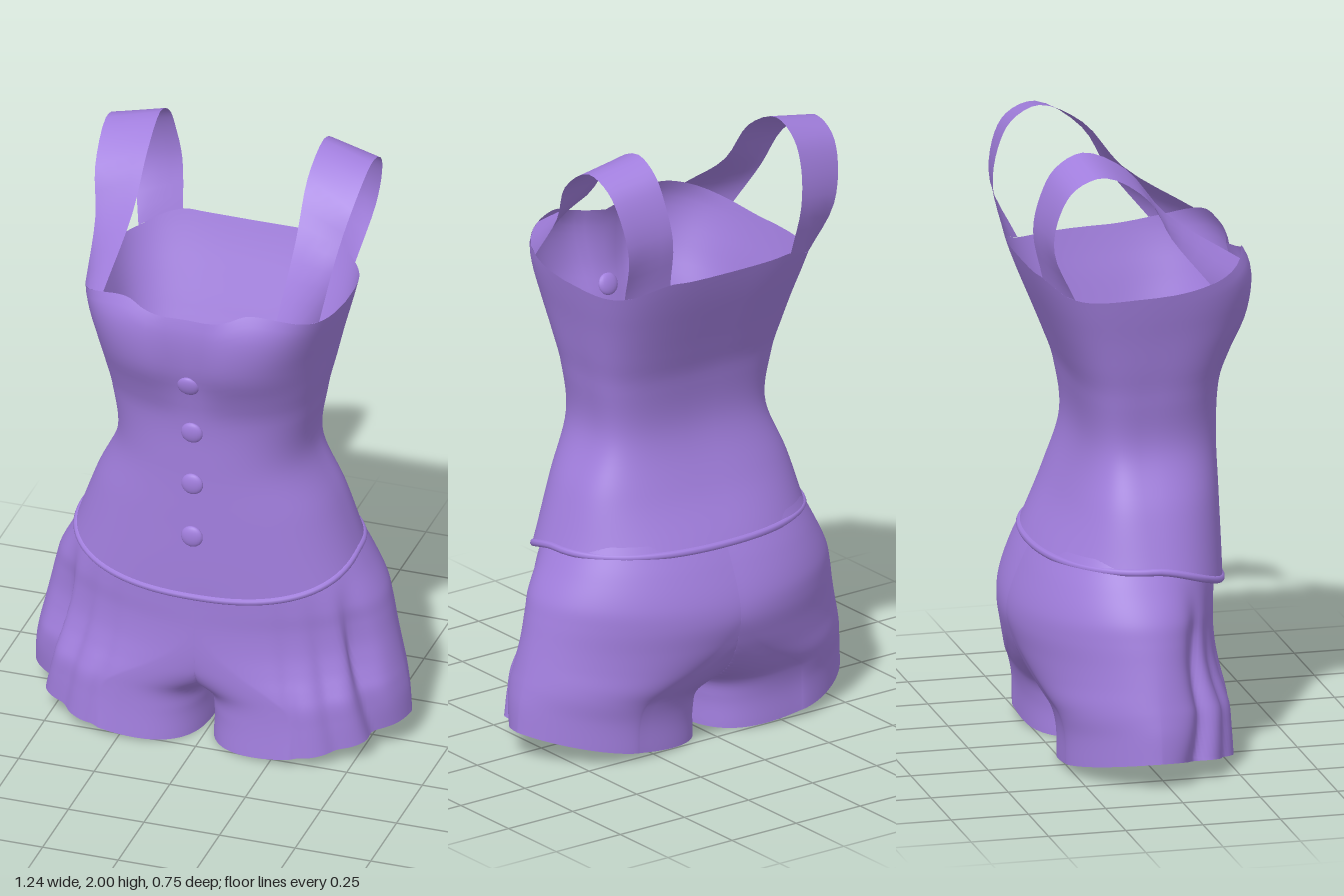
import * as THREE from 'three';

const fabric = new THREE.MeshStandardMaterial({ color: 0xa17edd, side: THREE.DoubleSide });
fabric.name = 'purple fabric';

// Smooth lookup in a table of [y, value, value, ...] rows
function sample(table, y) {
  const n = table.length - 1;
  let i = 0;
  while (i < n - 1 && y > table[i + 1][0]) i++;
  const a = table[i], b = table[i + 1], p = table[Math.max(i - 1, 0)], q = table[Math.min(i + 2, n)];
  const h = b[0] - a[0], t = THREE.MathUtils.clamp((y - a[0]) / h, 0, 1);
  return a.slice(1).map((v, k) => {
    const w = b[k + 1];
    const m0 = ((w - p[k + 1]) / (b[0] - p[0])) * h, m1 = ((q[k + 1] - v) / (q[0] - a[0])) * h;
    const t2 = t * t, t3 = t2 * t;
    return (2 * t3 - 3 * t2 + 1) * v + (t3 - 2 * t2 + t) * m0 + (3 * t2 - 2 * t3) * w + (t3 - t2) * m1;
  });
}

const spow = (v, p) => Math.sign(v) * Math.pow(Math.abs(v), p);

// Surface through a grid of points; drops triangles lying on the x = 0 plane if asked
function loft(name, rows, cols, point, closed, skipMiddle = false) {
  const pos = [], index = [], stride = closed ? cols : cols + 1;
  for (let r = 0; r <= rows; r++)
    for (let c = 0; c < stride; c++) pos.push(...point(r / rows, c / cols));
  const add = (...tri) => {
    if (!skipMiddle || tri.some((k) => Math.abs(pos[k * 3]) > 1e-6)) index.push(...tri);
  };
  for (let r = 0; r < rows; r++)
    for (let c = 0; c < cols; c++) {
      const d = (c + 1) % stride;
      const a = r * stride + c, b = r * stride + d;
      add(a, b, b + stride);
      add(a, b + stride, a + stride);
    }
  const g = new THREE.BufferGeometry();
  g.setAttribute('position', new THREE.Float32BufferAttribute(pos, 3));
  g.setIndex(index);
  g.computeVertexNormals();
  const mesh = new THREE.Mesh(g, fabric);
  mesh.name = name;
  return mesh;
}

// Bodice: y, half width, front z, back z, front squareness, back squareness
const bodiceTable = [
  [0.55, 0.5, 0.285, -0.36, 0.86, 0.9], [0.67, 0.457, 0.285, -0.308, 0.86, 0.9],
  [0.84, 0.395, 0.282, -0.22, 0.84, 0.72], [1.02, 0.318, 0.28, -0.165, 0.8, 0.6],
  [1.2, 0.335, 0.288, -0.185, 0.78, 0.58], [1.3, 0.357, 0.322, -0.22, 0.74, 0.58],
  [1.4, 0.378, 0.366, -0.26, 0.68, 0.57], [1.5, 0.401, 0.38, -0.3, 0.62, 0.55],
  [1.58, 0.415, 0.372, -0.328, 0.6, 0.53], [1.64, 0.41, 0.342, -0.345, 0.6, 0.53],
];
// Neckline height by degrees away from the front
const neckline = [
  [0, 1.588], [10, 1.612], [20, 1.636], [38, 1.622], [70, 1.575], [95, 1.546],
  [129, 1.546], [160, 1.59], [170, 1.587], [180, 1.585],
];

function bodiceAt(y, deg) {
  const [hw, zf, zb, pf, pb] = sample(bodiceTable, y);
  const a = THREE.MathUtils.degToRad(deg), c = Math.cos(a);
  if (c <= 0) return [hw * spow(Math.sin(a), pb), y, -zb * spow(c, pb)];
  // the chest narrows forwards and has a hollow in the middle
  const depth = spow(c, pf), chest = THREE.MathUtils.smoothstep(y, 1.18, 1.45);
  const x = hw * spow(Math.sin(a), pf) * (1 - 0.08 * chest * depth);
  return [x, y, zf * depth - 0.035 * chest * Math.exp(-((x / 0.075) ** 2))];
}
const neckAt = (deg) => bodiceAt(sample(neckline, Math.abs(deg))[0], deg);
function hemAt(deg) {
  let y = 0.66;
  for (let i = 0; i < 3; i++) y = 0.667 - 0.107 * Math.pow(Math.max(bodiceAt(y, deg)[2], 0) / 0.285, 1.5);
  return bodiceAt(y, deg);
}

// Shorts: y, outer half width, leg centre x, front z, back z, squareness inside, outer front, outer back
const shortsTable = [
  [0, 0.618, 0.314, 0.278, -0.268, 0.66, 1.1, 1.32], [0.1, 0.611, 0.311, 0.27, -0.27, 0.66, 1.08, 1.28],
  [0.17, 0.6, 0.294, 0.267, -0.285, 0.68, 1.05, 1.22], [0.22, 0.59, 0.235, 0.266, -0.308, 0.72, 1.03, 1.18],
  [0.28, 0.578, 0.14, 0.265, -0.333, 0.78, 1, 1.14], [0.35, 0.564, 0.05, 0.265, -0.358, 0.84, 0.98, 1.1],
  [0.43, 0.548, 0, 0.265, -0.376, 0.87, 0.95, 1.06], [0.5, 0.53, 0, 0.266, -0.368, 0.87, 0.92, 1.02],
  [0.6, 0.482, 0, 0.268, -0.33, 0.87, 0.88, 0.95], [0.7, 0.43, 0, 0.265, -0.28, 0.86, 0.86, 0.9],
];
// Front pleat grooves: x at the leg opening, x at the waist, depth, width
const pleats = [[0.57, 0.42, 0.15, 0.026], [0.46, 0.33, 0.06, 0.028], [0.34, 0.24, 0.035, 0.024]];

function shortsAt(y, turn, side, insetX = 1, insetZ = 1) {
  const [hw, cx, zf, zb, pIn, pFront, pBack] = sample(shortsTable, y);
  const a = turn * Math.PI * 2, s = Math.sin(a), c = Math.cos(a);
  const p = c < 0 ? pIn : s > 0 ? pFront : pBack;
  const reach = (hw - cx) * spow(c, p);
  const depth = 1 - THREE.MathUtils.smoothstep(y, 0.1, 0.66);
  let r = 1;
  if (s > 0)
    for (const [low, high, d, w] of pleats) {
      const at = THREE.MathUtils.lerp(low, high, y / 0.7);
      r -= d * depth * Math.exp(-(((cx + reach - at) / w) ** 2));
    }
  let x = cx + reach * r * insetX;
  if (x < 1e-5) x = 0;
  const z = (s > 0 ? zf : -zb) * r * insetZ * spow(s, p) - 0.03 * Math.max(c, 0);
  const lift = 0.088 * (x / 0.615) ** 2 * (1 - y / 0.7);
  return [side * x, y + lift, z];
}

// Strap: inner and outer edges over the shoulder
const strapInner = [[0.27, 1.78, 0.07], [0.265, 1.935, -0.06], [0.27, 2, -0.2], [0.27, 1.955, -0.29],
  [0.265, 1.87, -0.335], [0.25, 1.75, -0.355]];
const strapOuter = [[0.398, 1.735, 0.055], [0.425, 1.87, -0.022], [0.44, 1.963, -0.17], [0.437, 1.93, -0.265],
  [0.425, 1.85, -0.312], [0.4, 1.72, -0.325]];

function strap(side) {
  const cols = 4, paths = [];
  for (let j = 0; j <= cols; j++) {
    const t = j / cols, v = (p) => new THREE.Vector3(...p);
    paths.push(new THREE.CatmullRomCurve3([
      v(neckAt(38 + 34 * t)),
      ...strapInner.map((p, i) => v(p).lerp(v(strapOuter[i]), t)),
      v(neckAt(160 - 31 * t)),
    ]));
  }
  return loft('strap', 28, cols, (u, w) => {
    const p = paths[Math.round(w * cols)].getPoint(u);
    return [side * p.x, p.y, p.z];
  }, false);
}

export function createModel() {
  const model = new THREE.Group();
  model.name = 'romper outfit';

  // Bodice shell
  const degrees = (w) => w * 360 - 180;
  model.add(loft('bodice', 36, 120, (u, w) => {
    const d = degrees(w), low = hemAt(d)[1], high = neckAt(d)[1];
    return bodiceAt(low + (high - low) * u, d);
  }, true));

  // Rolled hem of the bodice
  const hemPoints = [];
  for (let i = 0; i < 64; i++) {
    const [x, y, z] = hemAt(degrees(i / 64));
    hemPoints.push(new THREE.Vector3(x * 0.99, y, z * 0.985));
  }
  const hem = new THREE.Mesh(
    new THREE.TubeGeometry(new THREE.CatmullRomCurve3(hemPoints, true), 96, 0.012, 8, true), fabric);
  hem.name = 'bodice hem';
  model.add(hem);

  // Front buttons
  for (const y of [0.78, 0.968, 1.155, 1.343]) {
    const button = new THREE.Mesh(new THREE.SphereGeometry(0.036, 20, 12), fabric);
    const z = bodiceAt(y, 0)[2], slope = (bodiceAt(y + 0.03, 0)[2] - bodiceAt(y - 0.03, 0)[2]) / 0.06;
    button.name = 'button';
    button.scale.z = 0.4;
    button.position.set(0, y, z + 0.003);
    button.rotation.x = Math.atan(slope);
    model.add(button);
  }

  for (const side of [1, -1]) {
    model.add(strap(side));
    // One half of the shorts with its leg
    model.add(loft('shortsLeg', 56, 144, (u, w) => shortsAt(0.7 * (1 - u), w, side), true, true));
    // Turned-in edge of the leg opening
    model.add(loft('legHem', 2, 144, (u, w) => {
      const p = shortsAt(0, w, side, 1 - 0.08 * u, 1 - 0.26 * u);
      p[1] += 0.015 * u;
      return p;
    }, true));
  }
  return model;
}
